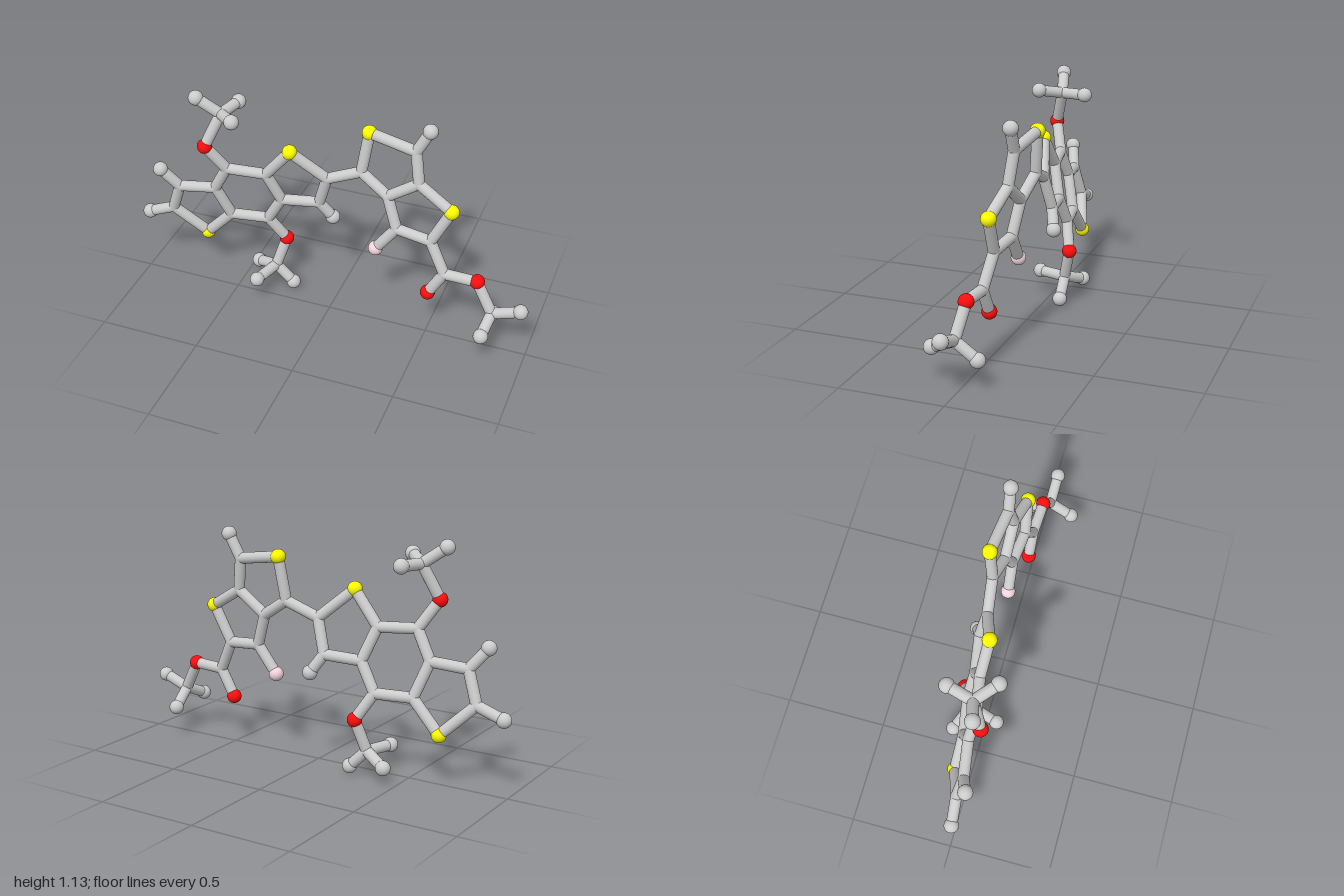
import * as THREE from 'three';

const BALL = 0.036, ROD = 0.027;
const COLORS = { C: 0xcccccc, H: 0xcccccc, S: 0xffff00, O: 0xff0d0d, F: 0xf5d5dd };
const NAMES = { C: 'carbonJoint', H: 'hydrogenBall', S: 'sulfurBall', O: 'oxygenBall', F: 'fluorineBall' };

// The flat ring systems each lie in a tilted plane z = a + b x + c y
const leftPlane = (x, y) => -0.229 - 0.168 * x + 0.211 * y;
const rightPlane = (x, y) => -0.016 + 0.088 * x - 0.107 * y;

// Atoms: id -> [element, x, y, z]; z is taken from the plane when omitted
const leftAtoms = {
  s1: ['S', -0.68, 0.26], c2: ['C', -0.835, 0.41], c3: ['C', -0.78, 0.565],
  c3a: ['C', -0.60, 0.58], c7a: ['C', -0.54, 0.41], c4: ['C', -0.525, 0.72],
  c4a: ['C', -0.335, 0.71], c8a: ['C', -0.275, 0.55], c8: ['C', -0.355, 0.41],
  s2: ['S', -0.205, 0.87], c9: ['C', -0.04, 0.725], c10: ['C', -0.09, 0.56],
  h2: ['H', -0.965, 0.36], h3: ['H', -0.86, 0.665], h10: ['H', -0.03, 0.47],
  // upper methoxy
  oa: ['O', -0.61, 0.855, 0.06], ma: ['C', -0.54, 1.02, 0.01],
  ha1: ['H', -0.65, 1.1, 0.04], ha2: ['H', -0.445, 1.045, 0.1], ha3: ['H', -0.505, 1.025, -0.118],
  // lower methoxy
  ob: ['O', -0.275, 0.28, -0.123], mb: ['C', -0.32, 0.125, -0.085],
  hb1: ['H', -0.44, 0.08, -0.143], hb2: ['H', -0.23, 0.037, -0.09], hb3: ['H', -0.365, 0.123, 0.06],
};
const rightAtoms = {
  d1: ['C', 0.125, 0.79], s3: ['S', 0.155, 1.0], d2: ['C', 0.39, 0.965],
  d3: ['C', 0.415, 0.805], s4: ['S', 0.585, 0.705], d4: ['C', 0.495, 0.525],
  d5: ['C', 0.32, 0.54], d6: ['C', 0.265, 0.70],
  hd: ['H', 0.45, 1.08], f: ['F', 0.22, 0.405],
  // ester tail
  e: ['C', 0.575, 0.37], oe: ['O', 0.50, 0.238, -0.006], of: ['O', 0.74, 0.375, 0.004],
  me: ['C', 0.825, 0.225, 0.025], he1: ['H', 0.962, 0.275, 0.028],
  he2: ['H', 0.807, 0.172, 0.142], he3: ['H', 0.815, 0.145, -0.078],
};

// Bonds written as chains of atom ids
const chains = [
  'c3a c3 c2 s1 c7a c3a', 'c3a c4 c4a c8a c8 c7a', 'c4a s2 c9 c10 c8a',
  'c2 h2', 'c3 h3', 'c10 h10',
  'c4 oa ma ha1', 'ma ha2', 'ma ha3', 'c8 ob mb hb1', 'mb hb2', 'mb hb3',
  'c9 d1', 'd1 s3 d2 d3 d6 d1', 'd3 s4 d4 d5 d6', 'd2 hd', 'd5 f',
  'd4 e oe', 'e of me he1', 'me he2', 'me he3',
];

export function createModel() {
  const model = new THREE.Group();
  model.name = 'ballAndStickMolecule';
  const materials = {};
  for (const el in COLORS) materials[el] = new THREE.MeshStandardMaterial({ color: COLORS[el] });
  const sphere = new THREE.SphereGeometry(1, 28, 18);
  const rod = new THREE.CylinderGeometry(ROD, ROD, 1, 24, 1, true);
  const up = new THREE.Vector3(0, 1, 0);
  const position = {};

  // Balls, with carbons as flush rounded joints
  const addAtoms = (atoms, plane) => {
    for (const id in atoms) {
      const [el, x, y, z = plane(x, y)] = atoms[id];
      position[id] = new THREE.Vector3(x, y, z);
      const ball = new THREE.Mesh(sphere, materials[el]);
      ball.name = NAMES[el];
      ball.position.copy(position[id]);
      ball.scale.setScalar(el === 'C' ? ROD * 1.02 : BALL);
      model.add(ball);
    }
  };
  addAtoms(leftAtoms, leftPlane);
  addAtoms(rightAtoms, rightPlane);

  // Sticks between neighbouring atoms
  for (const chain of chains) {
    const ids = chain.split(' ');
    for (let i = 1; i < ids.length; i++) {
      const a = position[ids[i - 1]], b = position[ids[i]];
      const dir = b.clone().sub(a);
      const stick = new THREE.Mesh(rod, materials.C);
      stick.name = 'bondStick';
      stick.position.copy(a).add(b).multiplyScalar(0.5);
      stick.scale.y = dir.length();
      stick.quaternion.setFromUnitVectors(up, dir.normalize());
      model.add(stick);
    }
  }
  return model;
}
